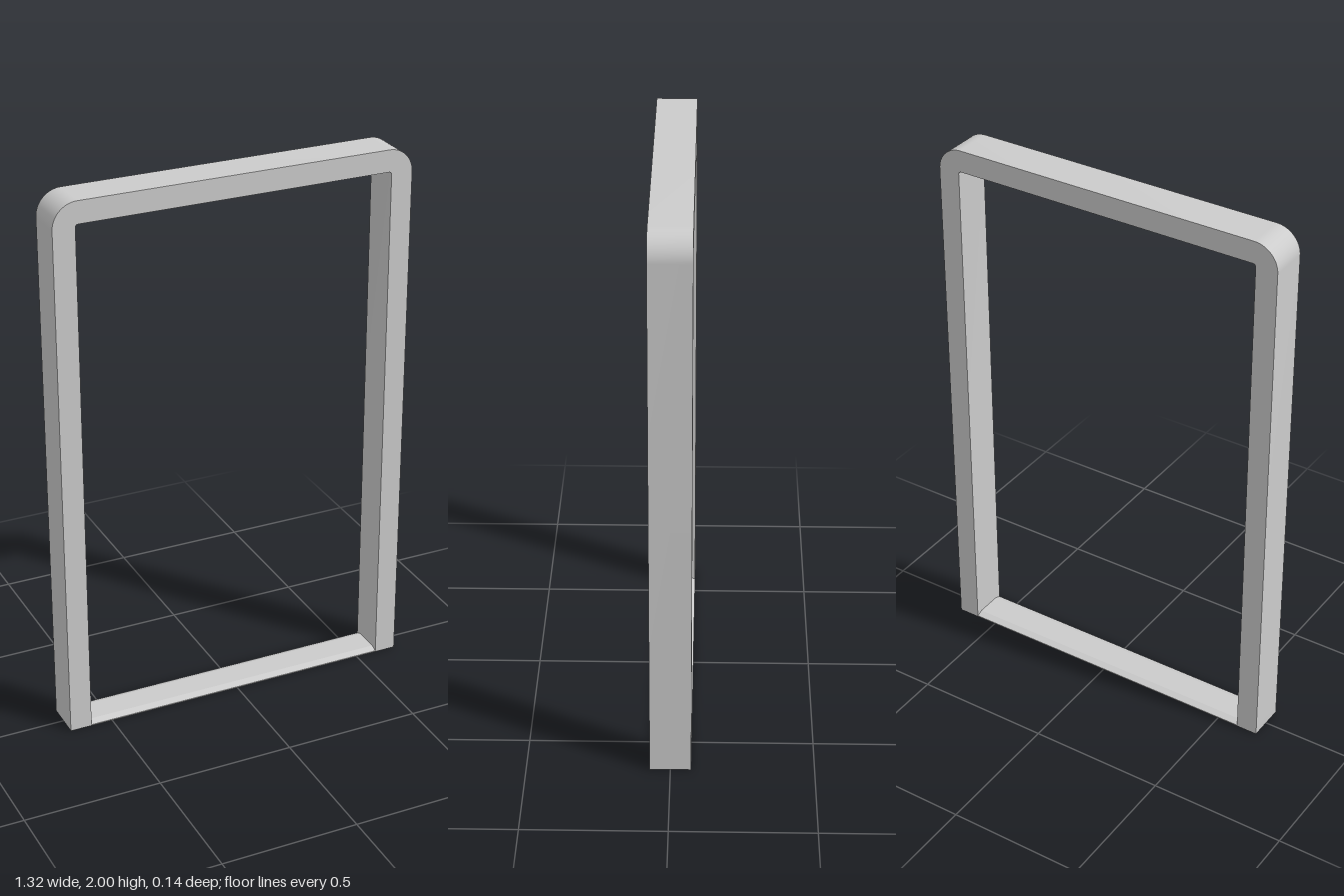
import * as THREE from 'three';
import { toCreasedNormals } from 'three/addons/utils/BufferGeometryUtils.js';

const HALF_WIDTH = 0.66, HEIGHT = 2, HALF_DEPTH = 0.072;
const OUTER_R = 0.09, INNER_R = 0.01; // concentric corner radii, profile is 0.08 wide
const ARC_STEPS = 16;

// Skin the walls between successive four-cornered sections; the ends stay open.
function skinSections(sections) {
  const positions = [], index = [];
  sections.forEach((section, i) => {
    section.forEach((p) => positions.push(...p));
    if (i === 0) return;
    for (let k = 0; k < 4; k++) {
      const a = (i - 1) * 4 + k, b = (i - 1) * 4 + (k + 1) % 4;
      index.push(a, b, b + 4, a, b + 4, a + 4);
    }
  });
  const geometry = new THREE.BufferGeometry();
  geometry.setAttribute('position', new THREE.Float32BufferAttribute(positions, 3));
  geometry.setIndex(index);
  return toCreasedNormals(geometry, Math.PI / 6);
}

// Rectangular section reaching from the inner to the outer edge at a given angle.
function sectionAt(cx, cy, angle) {
  const c = Math.cos(angle), s = Math.sin(angle);
  const corner = (r, z) => [cx + r * c, cy + r * s, z];
  return [
    corner(OUTER_R, HALF_DEPTH), corner(OUTER_R, -HALF_DEPTH),
    corner(INNER_R, -HALF_DEPTH), corner(INNER_R, HALF_DEPTH),
  ];
}

export function createModel() {
  const model = new THREE.Group();
  model.name = 'doorFrame';
  const material = new THREE.MeshStandardMaterial({ color: 0xcccccc, side: THREE.DoubleSide });

  // Jambs and head: one hollow profile bent round both upper corners
  const cx = HALF_WIDTH - OUTER_R, cy = HEIGHT - OUTER_R;
  const sections = [sectionAt(cx, 0, 0)];
  for (const side of [0, 1]) {
    for (let i = 0; i <= ARC_STEPS; i++) {
      sections.push(sectionAt(side ? -cx : cx, cy, (side + i / ARC_STEPS) * Math.PI / 2));
    }
  }
  sections.push(sectionAt(-cx, 0, Math.PI));
  const surround = new THREE.Mesh(skinSections(sections), material);
  surround.name = 'jambsAndHead';
  model.add(surround);

  // Threshold: thin strip with sloping front and back edges
  const profile = new THREE.Shape([
    [-HALF_DEPTH, 0], [HALF_DEPTH, 0], [HALF_DEPTH, 0.004],
    [0.048, 0.014], [-0.048, 0.014], [-HALF_DEPTH, 0.004],
  ].map(([x, y]) => new THREE.Vector2(x, y)));
  const length = 2 * (cx + INNER_R);
  const sillGeometry = new THREE.ExtrudeGeometry(profile, { depth: length, bevelEnabled: false });
  sillGeometry.translate(0, 0, -length / 2).rotateY(Math.PI / 2);
  const sill = new THREE.Mesh(sillGeometry, material);
  sill.name = 'threshold';
  model.add(sill);

  return model;
}
